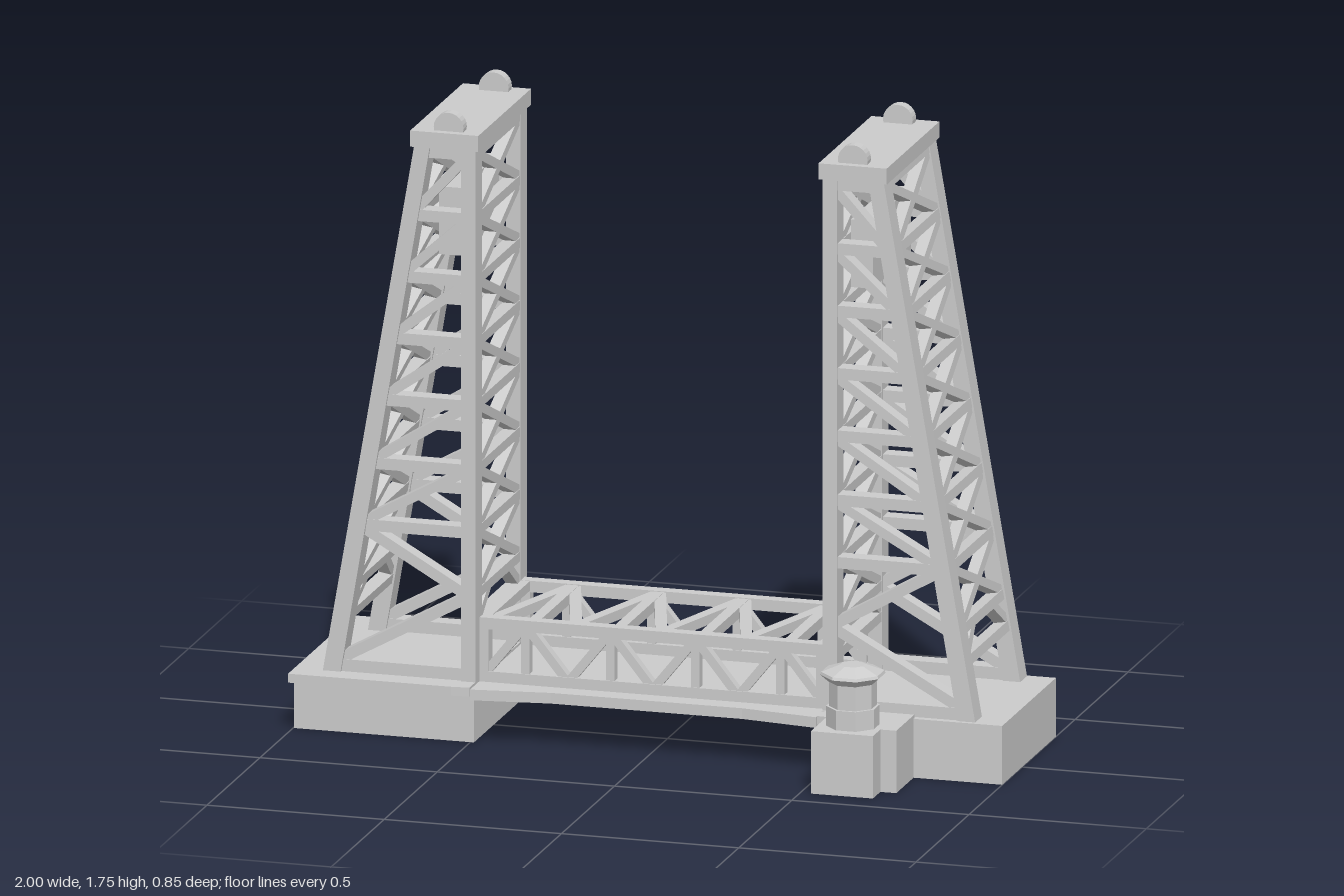
import * as THREE from 'three';

const ZC = -0.07;        // centre line of the bridge
const ZP = 0.2125;       // half distance between the tower leg frames
const DECK = 0.165;      // deck level
const TOP = 1.66;        // top of the tower legs
const LEVELS = [0.405, 0.58, 0.755, 0.935, 1.11, 1.285, 1.46, 1.64];

const mat = new THREE.MeshStandardMaterial({ color: 0xcccccc, flatShading: true });

function add(parent, name, geometry, x = 0, y = 0, z = 0) {
  const m = new THREE.Mesh(geometry, mat);
  m.name = name;
  m.position.set(x, y, z);
  parent.add(m);
  return m;
}

// box given by its limits on each axis
function block(parent, name, x0, x1, y0, y1, z0, z1) {
  return add(parent, name, new THREE.BoxGeometry(Math.abs(x1 - x0), y1 - y0, z1 - z0),
    (x0 + x1) / 2, (y0 + y1) / 2, (z0 + z1) / 2);
}

// bar from a to b; depth is measured along the normal of the truss plane
function bar(parent, name, a, b, normal, width, depth) {
  const A = new THREE.Vector3(...a), B = new THREE.Vector3(...b);
  const dir = B.clone().sub(A), len = dir.length();
  dir.normalize();
  const side = new THREE.Vector3().crossVectors(dir, new THREE.Vector3(...normal)).normalize();
  const n = new THREE.Vector3().crossVectors(side, dir);
  const m = add(parent, name, new THREE.BoxGeometry(width, len, depth));
  m.quaternion.setFromRotationMatrix(new THREE.Matrix4().makeBasis(side, dir, n));
  m.position.copy(A).add(B).multiplyScalar(0.5);
}

// horizontal slab from a plan outline of [x, z] points
function slab(parent, name, points, y0, y1) {
  const shape = new THREE.Shape(points.map(([x, z]) => new THREE.Vector2(x, -z)));
  const g = new THREE.ExtrudeGeometry(shape, { depth: y1 - y0, bevelEnabled: false });
  g.rotateX(-Math.PI / 2);
  return add(parent, name, g, 0, y0, 0);
}

// s = +1 for the left tower, -1 for the right one
function tower(s) {
  const g = new THREE.Group();
  g.name = s > 0 ? 'leftTower' : 'rightTower';
  const xi = 0.51 * s;
  const xo = y => s * (0.895 - 0.255 * (y - DECK) / (TOP - DECK));
  const slope = [1, 0.171 * s, 0];

  for (const k of [-1, 1]) {
    const z = ZC + k * ZP;
    block(g, 'innerLeg', xi - 0.02, xi + 0.02, DECK - 0.005, TOP, z - 0.032, z + 0.032);
    // inclined leg with level ends
    const leg = new THREE.Shape([
      [xo(DECK) - 0.025, DECK], [xo(DECK) + 0.025, DECK], [xo(TOP) + 0.022, TOP], [xo(TOP) - 0.022, TOP],
    ].map(p => new THREE.Vector2(...p)));
    add(g, 'outerLeg', new THREE.ExtrudeGeometry(leg, { depth: 0.064, bevelEnabled: false }), 0, 0, z - 0.032);

    // side lacing between the upright and the inclined leg
    const N = [0, 0, 1];
    bar(g, 'sideSill', [xi, 0.182, z], [xo(0.182), 0.182, z], N, 0.034, 0.05);
    bar(g, 'sideDiagonal', [xo(0.19), 0.19, z], [xi, 0.40, z], N, 0.03, 0.045);
    bar(g, 'sideDiagonal', [xo(0.58), 0.58, z], [xi, 0.40, z], N, 0.03, 0.045);
    for (let i = 1; i < LEVELS.length; i++) {
      const y = LEVELS[i], next = LEVELS[i + 1];
      bar(g, 'sideStrut', [xi, y, z], [xo(y), y, z], N, 0.032, 0.048);
      if (next) bar(g, 'sideDiagonal', [xo(y), y, z], [xi, next, z], N, 0.026, 0.045);
    }

    // sheave on the cap
    const wheel = new THREE.CylinderGeometry(0.042, 0.042, 0.032, 24);
    wheel.rotateX(Math.PI / 2);
    add(g, 'sheave', wheel, 0.57 * s, 1.71, z);
  }

  // inner and outer cross-braced faces
  for (const [fx, n] of [[() => xi, [1, 0, 0]], [xo, slope]]) {
    const at = (y, k) => [fx(y), y, ZC + k * ZP];
    for (const y of [0.318, ...LEVELS])
      bar(g, 'faceStrut', at(y, -1), at(y, 1), n, 0.028, 0.038);
    for (const k of [-1, 1]) {
      bar(g, 'portalBrace', at(0.315, k), at(0.405, k * 0.4), n, 0.026, 0.034);
      for (let i = 0; i < LEVELS.length - 1; i++)
        bar(g, 'crossBrace', at(LEVELS[i], -k), at(LEVELS[i + 1], k), n, 0.026, 0.034);
    }
  }

  block(g, 'cap', 0.48 * s, 0.672 * s, 1.655, 1.70, -0.318, 0.18);
  block(g, 'counterweight', 0.55 * s, 0.612 * s, 1.34, 1.53, -0.25, 0.11);
  return g;
}

function liftSpan() {
  const g = new THREE.Group();
  g.name = 'liftSpan';
  const L = 0.487, P = 0.24, zs = [ZC - 0.195, ZC + 0.195];

  // zigzag web with a post at each upper node; at(x, t) maps t = 0..1 across the web
  function web(name, at, normal, offset, width) {
    for (let i = -2; i < 2; i++) {
      const x = (i + 0.5) * P + offset;
      bar(g, name + 'Post', at(x, 0), at(x, 1), normal, width, 0.03);
      for (const d of [-1, 1]) {
        const x2 = x + d * P / 2, xe = Math.max(-L, Math.min(L, x2));
        bar(g, name + 'Diagonal', at(x, 1), at(xe, Math.abs(xe - x2) / (P / 2)), normal, width, 0.028);
      }
    }
  }
  for (const z of zs) {
    block(g, 'bottomChord', -L, L, 0.16, 0.19, z - 0.018, z + 0.018);
    block(g, 'topChord', -L, L, 0.308, 0.34, z - 0.018, z + 0.018);
    for (const s of [-1, 1]) block(g, 'endPost', s * L, s * (L - 0.025), 0.17, 0.34, z - 0.018, z + 0.018);
    web('sideWeb', (x, t) => [x, 0.175 + t * 0.15, z], [0, 0, 1], 0, 0.024);
  }
  for (const s of [-1, 1]) block(g, 'endStrut', s * L, s * (L - 0.025), 0.312, 0.339, zs[0], zs[1]);
  web('topWeb', (x, t) => [x, 0.323, zs[1] + t * (zs[0] - zs[1])], [0, 1, 0], 0.02, 0.032);

  slab(g, 'spanDeck', [
    [-0.488, -0.375], [-0.27, -0.34], [0.27, -0.34], [0.488, -0.375],
    [0.488, 0.23], [0.27, 0.2], [-0.27, 0.2], [-0.488, 0.23],
  ], 0.13, 0.16);
  return g;
}

function controlHouse() {
  const g = new THREE.Group();
  g.name = 'controlHouse';
  block(g, 'housePier', 0.53, 0.705, 0, 0.175, 0.18, 0.42);
  block(g, 'sidePier', 0.70, 0.75, 0, 0.175, 0.18, 0.35);
  const x = 0.62, z = 0.325;
  // octagonal cabin: radius and height steps
  const tiers = [
    ['cabinBase', 0.073, 0.073, 0.175, 0.23],
    ['cabinWall', 0.065, 0.065, 0.23, 0.31],
    ['roofSoffit', 0.089, 0.066, 0.298, 0.318],
    ['roofEdge', 0.086, 0.089, 0.318, 0.326],
    ['roof', 0.035, 0.086, 0.326, 0.345],
  ];
  for (const [name, rt, rb, y0, y1] of tiers) {
    const c = new THREE.CylinderGeometry(rt, rb, y1 - y0, 8);
    c.rotateY(Math.PI / 8);
    add(g, name, c, x, (y0 + y1) / 2, z);
  }
  return g;
}

export function createModel() {
  const model = new THREE.Group();
  model.name = 'liftBridge';

  // piers and approach decks
  block(model, 'rightPier', -0.998, -0.49, 0, 0.142, -0.32, 0.187);
  slab(model, 'rightDeck', [
    [-1, -0.38], [-0.54, -0.38], [-0.49, -0.375], [-0.49, 0.23], [-0.54, 0.235], [-1, 0.235],
  ], 0.14, DECK);
  block(model, 'leftPier', 0.49, 1, 0, DECK, -0.32, 0.187);
  slab(model, 'leftWalkway', [
    [0.49, -0.372], [0.53, -0.378], [0.79, -0.378], [0.84, -0.425], [0.84, -0.32], [0.49, -0.32],
  ], 0.143, DECK - 0.001);
  slab(model, 'leftApron', [[0.49, 0.18], [0.535, 0.18], [0.535, 0.235], [0.49, 0.23]], 0.14, DECK - 0.001);

  model.add(tower(1), tower(-1), liftSpan(), controlHouse());
  return model;
}
